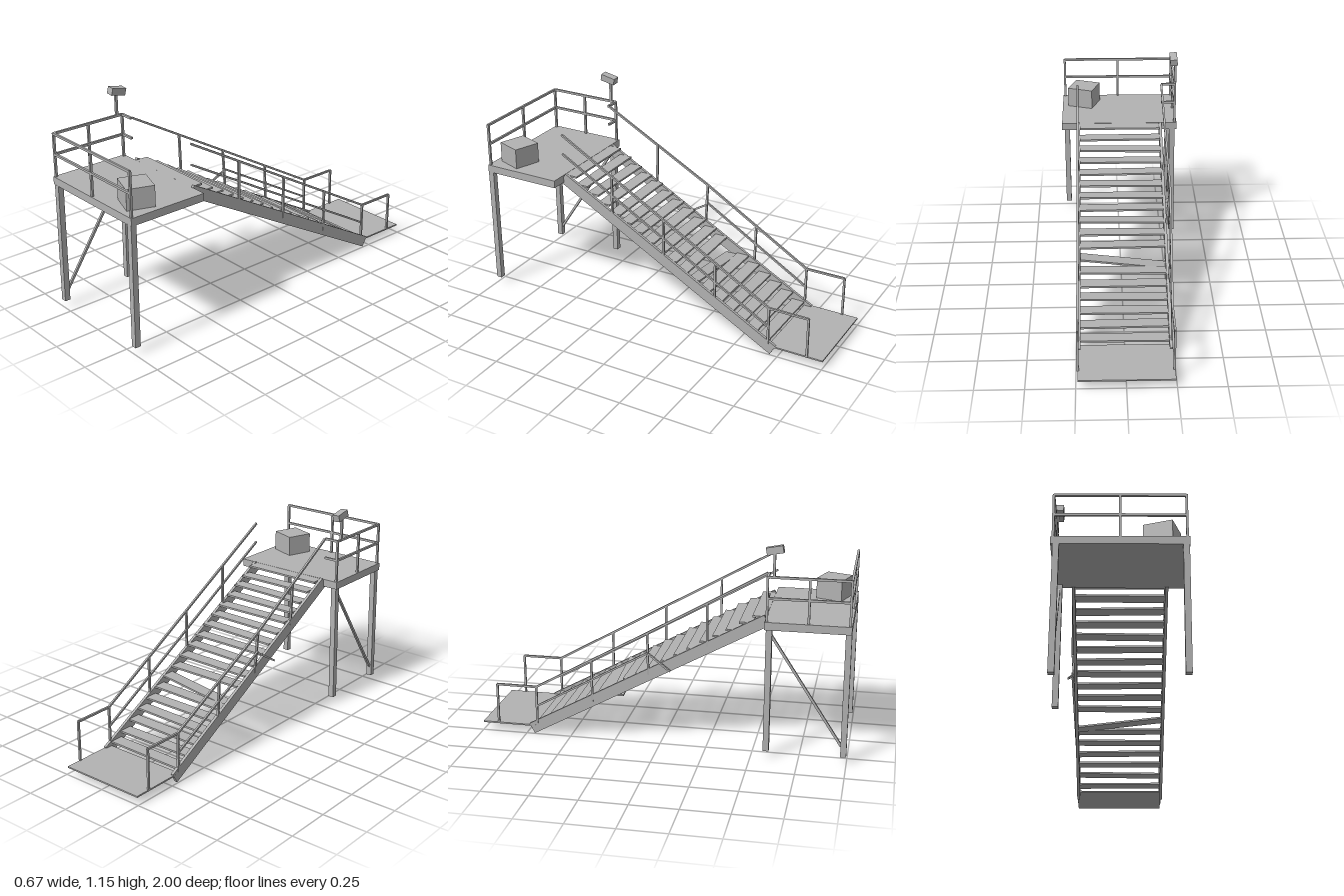
import * as THREE from 'three';

export function createModel() {
  const model = new THREE.Group();
  const steel = new THREE.MeshStandardMaterial({ color: 0xb2b2b2 });
  steel.name = 'grey steel';

  const add = (name, geometry) => {
    const mesh = new THREE.Mesh(geometry, steel);
    mesh.name = name;
    model.add(mesh);
    return mesh;
  };
  // Axis-aligned box given by its centre and size
  const box = (name, [x, y, z], [w, h, d]) => {
    const mesh = add(name, new THREE.BoxGeometry(w, h, d));
    mesh.position.set(x, y, z);
    return mesh;
  };
  // Straight bar of rectangular section between two points
  const bar = (name, a, b, w = 0.012, h = w) => {
    const from = new THREE.Vector3(...a), to = new THREE.Vector3(...b);
    const mesh = add(name, new THREE.BoxGeometry(w, h, from.distanceTo(to)));
    mesh.position.copy(from).lerp(to, 0.5);
    mesh.lookAt(to);
    return mesh;
  };
  const path = (name, points, w) => {
    for (let i = 1; i < points.length; i++) bar(name, points[i - 1], points[i], w);
  };

  // Upper platform and lower landing
  box('platform', [0, 0.732, 0.777], [0.664, 0.042, 0.442]);
  box('landing', [-0.002, 0.051, -0.846], [0.485, 0.008, 0.308]);

  // Three slightly leaning legs and one diagonal brace
  bar('leg', [-0.313, 0.045, 0.983], [-0.306, 0.713, 0.983], 0.031);
  bar('leg', [-0.313, 0.045, 0.58], [-0.306, 0.713, 0.58], 0.031);
  bar('leg', [0.31, 0.045, 0.983], [0.314, 0.713, 0.983], 0.031);
  bar('brace', [-0.312, 0.1, 0.97], [-0.308, 0.685, 0.587], 0.013);

  // Platform railing: front and one side, with a short return at the stair
  const R = 0.32, F = 0.988, B = 0.568;
  for (const y of [0.987, 0.876]) {
    path('platformRail', [[R, y, F], [-R, y, F], [-R, y, B], [-0.24, y, B]], 0.012);
  }
  for (const [x, z] of [[-R, F], [0, F], [R, F], [-R, 0.78], [-R, B]]) {
    bar('platformPost', [x, 0.75, z], [x, 0.99, z], 0.012);
  }

  // Stair stringers
  for (const x of [-0.236, 0.236]) {
    bar('stringer', [x, 0.735, 0.56], [x, 0.033, -0.72], 0.016, 0.062);
  }

  // Treads, each a little crooked; one has come loose at one end
  const tilt = [0.003, -0.002, 0.004, 0.001, -0.004, 0.002];
  for (let k = -2; k <= 15; k++) {
    const nose = 0.345 - 0.069 * k;
    const loose = k === 9;
    const y = loose ? 0.287 : 0.668 - 0.0397 * k;
    const tread = box('tread', [0, y, nose + 0.036], [0.458, 0.01, 0.072]);
    tread.rotation.z = loose ? 0.12 : tilt[(k + 2) % 6] * 3;
    if (k === -2) tread.rotation.z = 0;
  }

  // Stair handrails
  const slopeY = (z, top) => top - 0.568 * (0.56 - z);
  const postZ = [0.25, -0.065, -0.375, -0.69];
  for (const side of [-1, 1]) {
    // The right-hand rail is bent outwards about halfway down
    const bend = (z) => side < 0 ? -0.24 - 0.02 * Math.max(0, 1 - Math.abs(z + 0.065) / 0.63) : 0.24;
    const at = (z, top) => [bend(z), slopeY(z, top), z];
    const stops = [0.56, ...postZ];
    path('stairHandrail', [...stops.map((z) => at(z, 0.987)),
      [side * 0.24, 0.277, -0.912], [side * 0.24, 0.052, -0.912]], 0.011);
    // The upper part of the right-hand middle rail is missing
    path('stairMiddleRail', (side < 0 ? stops.slice(2) : stops).map((z) => at(z, 0.876)), 0.01);
    for (const z of postZ) {
      bar('stairPost', [side * 0.24, slopeY(z, 0.75), z], at(z, 0.987), 0.011);
    }
  }
  bar('brokenRail', [-0.246, 0.515, -0.065], [-0.275, 0.432, 0.06], 0.01);

  // Crate on the platform
  box('crate', [0.205, 0.809, 0.872], [0.149, 0.112, 0.145]).rotation.y = -0.34;

  // Lamp on its pole
  bar('lampPole', [-0.322, 0.985, 0.6], [-0.322, 1.11, 0.6], 0.013);
  box('lampHead', [-0.311, 1.126, 0.601], [0.042, 0.038, 0.086]).rotation.set(-0.2, 0, -0.08);

  return model;
}
